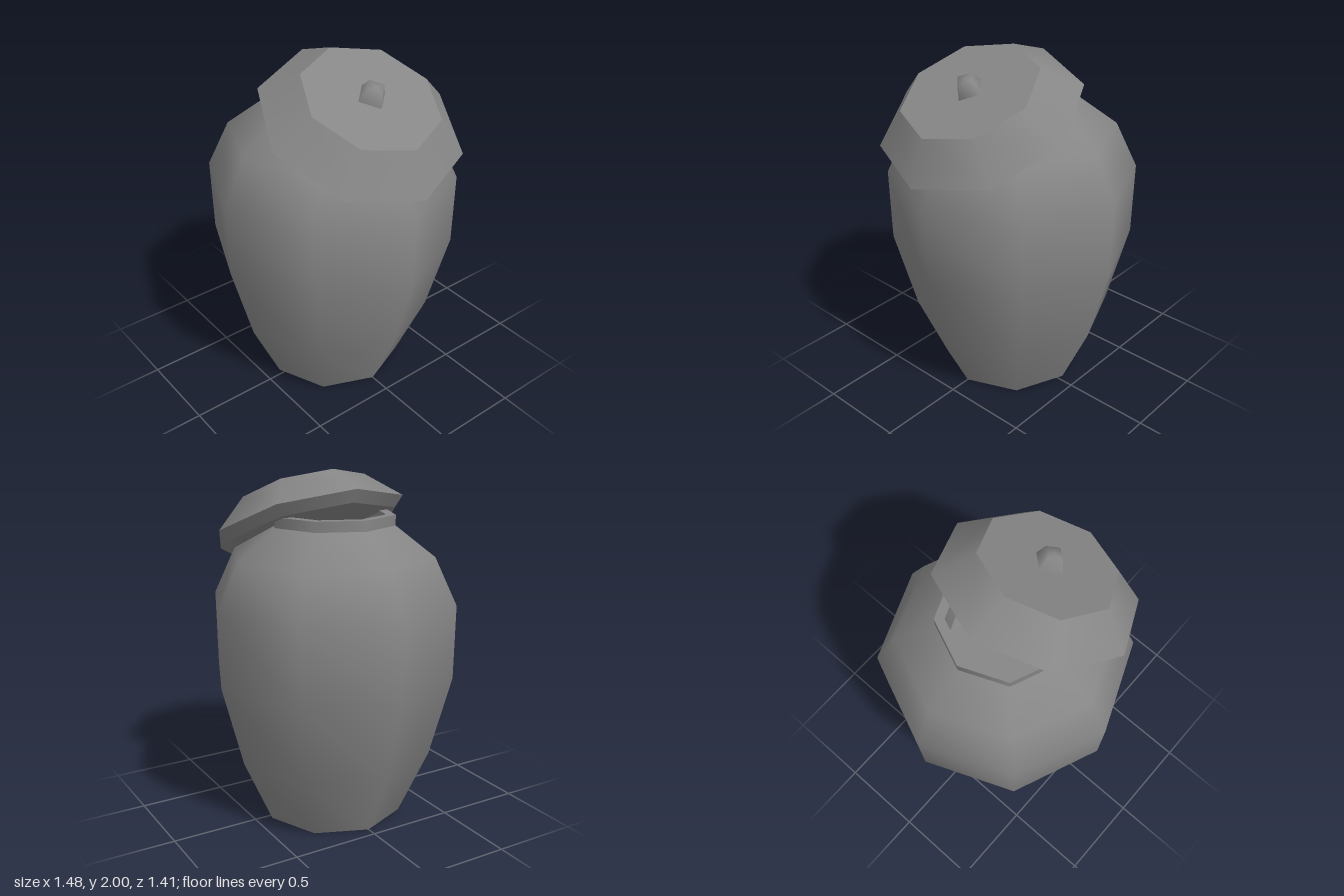
import * as THREE from 'three';
import { mergeGeometries } from 'three/addons/utils/BufferGeometryUtils.js';

const material = new THREE.MeshStandardMaterial({ color: 0x868686 });

// Turns profile runs of [radius, height]; smooth within a run, sharp between runs.
function turned(name, sides, runs) {
  const parts = runs.map((run) =>
    new THREE.LatheGeometry(run.map(([r, y]) => new THREE.Vector2(r, y)), sides));
  const mesh = new THREE.Mesh(mergeGeometries(parts), material);
  mesh.name = name;
  return mesh;
}

export function createModel() {
  const model = new THREE.Group();
  model.name = 'liddedJar';

  // Jar: base, bulging wall and shoulder
  const jar = new THREE.Group();
  jar.name = 'jar';
  jar.position.x = -0.033;
  jar.add(turned('jarBody', 8, [
    [[0, 0], [0.407, 0]],
    [[0.407, 0], [0.577, 0.38], [0.7, 0.85], [0.706, 1.27], [0.58, 1.535], [0.357, 1.7]],
  ]));

  // Neck ring with a recess inside
  jar.add(turned('jarRim', 8, [
    [[0.357, 1.7], [0.357, 1.758]],
    [[0.357, 1.758], [0.302, 1.758]],
    [[0.302, 1.758], [0.302, 1.52]],
    [[0.302, 1.52], [0, 1.52]],
  ]));
  model.add(jar);

  // Lid slid to one side, resting tilted on the shoulder
  const lid = new THREE.Group();
  lid.name = 'lid';
  lid.position.set(0.225, 1.67, 0);
  lid.rotation.z = THREE.MathUtils.degToRad(-25.3);
  lid.add(turned('lidBody', 8, [
    [[0, -0.053], [0.502, -0.053]],
    [[0.502, -0.053], [0.567, 0]],
    [[0.567, 0], [0.381, 0.182]],
    [[0.381, 0.182], [0, 0.182]],
  ]));

  // Four-sided knob
  const knob = turned('lidKnob', 4, [[[0.088, 0], [0.055, 0.072], [0, 0.072]]]);
  knob.position.y = 0.182;
  lid.add(knob);
  model.add(lid);

  return model;
}
